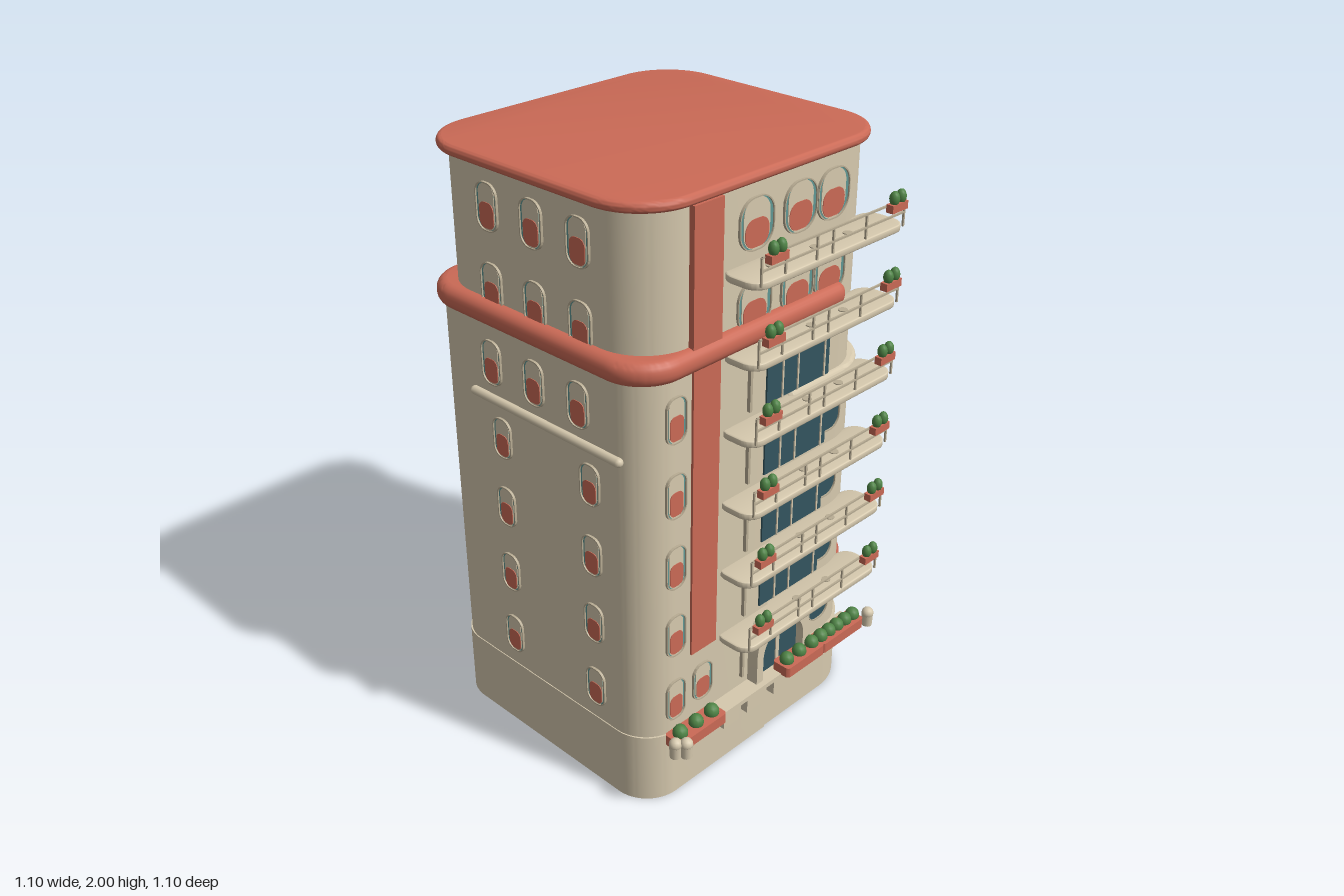
import * as THREE from 'three';
import { toCreasedNormals } from 'three/addons/utils/BufferGeometryUtils.js';

const material = (name, color) => {
  const m = new THREE.MeshStandardMaterial({ color });
  m.name = name;
  return m;
};

export function createModel() {
  const cream = material('cream plaster', 0xd6c9ae);
  const trim = material('shaded trim', 0xb9ad94);
  const coral = material('coral', 0xcb6a56);
  const glass = material('dark teal glass', 0x33555f);
  const teal = material('light teal', 0x5f9794);
  const leaf = material('leaf green', 0x4f8446);
  const root = new THREE.Group();
  root.name = 'apartmentTower';

  const add = (name, geo, mat, x = 0, y = 0, z = 0, parent = root) => {
    const m = new THREE.Mesh(geo, mat);
    m.name = name;
    m.position.set(x, y, z);
    parent.add(m);
    return m;
  };
  const box = (name, mat, x0, x1, y0, y1, z0, z1, parent) =>
    add(name, new THREE.BoxGeometry(x1 - x0, y1 - y0, z1 - z0), mat,
      (x0 + x1) / 2, (y0 + y1) / 2, (z0 + z1) / 2, parent);

  // Rounded rectangle with separate radii for the low-x and high-x corners
  const rounded = (x0, x1, y0, y1, rl, rr = rl) => {
    const s = new THREE.Shape();
    s.moveTo(x0 + rl, y0);
    s.lineTo(x1 - rr, y0);
    if (rr) s.absarc(x1 - rr, y0 + rr, rr, -Math.PI / 2, 0);
    s.lineTo(x1, y1 - rr);
    if (rr) s.absarc(x1 - rr, y1 - rr, rr, 0, Math.PI / 2);
    s.lineTo(x0 + rl, y1);
    if (rl) s.absarc(x0 + rl, y1 - rl, rl, Math.PI / 2, Math.PI);
    s.lineTo(x0, y0 + rl);
    if (rl) s.absarc(x0 + rl, y0 + rl, rl, Math.PI, Math.PI * 1.5);
    return s;
  };
  const extrude = (shape, depth, bevel = 0) => toCreasedNormals(new THREE.ExtrudeGeometry(shape, {
    depth: depth - 2 * bevel, curveSegments: 12, bevelEnabled: bevel > 0,
    bevelThickness: bevel, bevelSize: bevel, bevelOffset: -bevel, bevelSegments: 5,
  }).translate(0, 0, bevel), 0.7);
  // Horizontal slab with rounded plan and optional rounded edge
  const slab = (name, mat, x0, x1, z0, z1, y0, y1, rl, rr, bevel = 0) =>
    add(name, extrude(rounded(x0, x1, -z1, -z0, rl, rr), y1 - y0, bevel).rotateX(-Math.PI / 2), mat, 0, y0, 0);
  // Shallow bowed slab growing out of a wall
  const bow = (name, mat, length, d, y0, y1, turn, x, z, bevel = 0) => {
    const s = new THREE.Shape();
    s.moveTo(-length / 2, 0.05);
    s.lineTo(-length / 2, -0.005);
    s.bezierCurveTo(-length / 3, -d * 1.33, length / 3, -d * 1.33, length / 2, -0.005);
    s.lineTo(length / 2, 0.05);
    const m = add(name, extrude(s, y1 - y0, bevel).rotateX(-Math.PI / 2), mat, x, y0, z);
    m.rotation.y = turn;
  };
  const bush = (x, y, z, r, h, parent) =>
    add('bush', new THREE.SphereGeometry(1, 12, 8), leaf, x, y, z, parent).scale.set(r, h, r);

  // Main masses
  slab('leftBase', cream, -0.53, 0.03, -0.53, 0.413, 0, 0.25, 0.13, 0);
  slab('rightBase', cream, -0.1, 0.53, -0.51, 0.408, 0, 0.25, 0, 0.2);
  slab('leftBlock', cream, -0.527, 0.03, -0.526, 0.408, 0.25, 1.5, 0.13, 0);
  slab('rightBlock', cream, -0.1, 0.525, -0.505, 0.4, 0.25, 1.24, 0, 0.2);
  slab('upperTower', cream, -0.507, 0.503, -0.507, 0.395, 1.2, 1.97, 0.17, 0.18);
  slab('roof', coral, -0.535, 0.53, -0.54, 0.415, 1.966, 2, 0.19, 0.19, 0.016);
  slab('coralBand', coral, -0.55, 0.335, -0.548, 0.43, 1.48, 1.555, 0.15, 0.04, 0.033);
  slab('corniceRight', cream, 0.1, 0.545, -0.522, 0.414, 1.225, 1.255, 0.02, 0.21, 0.012);
  for (const y of [0.475, 1.153])
    slab('coralStripe', coral, 0.335, 0.529, -0.509, 0.404, y, y + 0.022, 0, 0.194);

  // Vertical coral stripe
  box('coralPillarLower', coral, -0.335, -0.225, 0.51, 1.49, 0.39, 0.416);
  box('coralPillarUpper', coral, -0.335, -0.22, 1.5, 1.967, 0.36, 0.414);

  // Bowed back bay with ledges
  bow('backBay', cream, 0.31, 0.025, 0, 1.49, Math.PI, 0.195, -0.505);
  for (let i = 0; i < 5; i++) {
    const y = 0.49 + i * 0.2465;
    bow('backLedge', cream, 0.33, 0.042, y - 0.008, y + 0.012, Math.PI, 0.195, -0.505, 0.004);
  }

  // Right side ledges, glazed bay and canopy
  for (let i = 0; i < 3; i++) {
    const y = 0.49 + i * 0.245;
    bow('rightLedge', cream, 0.42, 0.022, y - 0.008, y + 0.012, Math.PI / 2, 0.525, -0.06, 0.004);
  }
  bow('rightBayGlass', glass, 0.45, 0.03, 1.25, 1.468, Math.PI / 2, 0.503, -0.055);
  box('rightBayMullion', cream, 0.5, 0.535, 1.25, 1.468, 0.036, 0.044);
  bow('rightBayHead', cream, 0.54, 0.035, 1.466, 1.486, Math.PI / 2, 0.503, -0.055);
  const canopy = slab('rightCanopy', coral, 0.4, 0.545, -0.325, 0.21, 1.486, 1.555, 0.04, 0.07, 0.032);
  canopy.position.y = 1.486;

  // Left side ledge
  add('leftLedge', new THREE.CapsuleGeometry(0.015, 0.63, 4, 10).rotateX(Math.PI / 2), cream, -0.533, 1.24, 0);

  // Windows: thin layered plates facing local +z
  const windowAt = (x, y, z, turn, w, h, dark) => {
    const g = new THREE.Group();
    g.name = 'window';
    g.position.set(x, y, z);
    g.rotation.y = turn;
    root.add(g);
    const r = w * 0.42;
    const ring = rounded(-w / 2 - 0.004, w / 2 + 0.004, -h / 2 - 0.004, h / 2 + 0.004, r + 0.004);
    ring.holes.push(rounded(-w / 2, w / 2, -h / 2, h / 2, r));
    add('windowFrame', extrude(ring, 0.008), trim, 0, 0, 0, g);
    add('windowPane', extrude(rounded(-w / 2, w / 2, -h / 2, h / 2, r), 0.003), dark ? glass : teal, 0, 0, 0, g);
    if (dark) return;
    add('windowBlind', extrude(rounded(-w * 0.4, w * 0.4, -h / 2, h / 2, w * 0.36), 0.005), cream, 0, 0, 0, g);
    add('windowCurtain', extrude(rounded(-w * 0.36, w * 0.36, -h * 0.46, h * 0.1, w * 0.26), 0.007), coral, 0, 0, 0, g);
  };
  const rows = [0.375, 0.62, 0.867, 1.113];
  for (const y of rows) {
    windowAt(-0.4, y, 0.408, 0, 0.075, 0.14);
    windowAt(0.3, y, 0.4, 0, 0.095, 0.125, true);
    for (const z of [0.11, -0.22]) windowAt(0.525, y, z, Math.PI / 2, 0.115, 0.1, true);
    for (const z of [-0.2, 0.19]) windowAt(-0.527, y, z, -Math.PI / 2, 0.075, 0.13);
  }
  windowAt(-0.4, 1.36, 0.408, 0, 0.075, 0.14);
  windowAt(-0.28, 0.38, 0.408, 0, 0.08, 0.13);
  for (const z of [-0.23, -0.04, 0.15]) windowAt(-0.527, 1.36, z, -Math.PI / 2, 0.08, 0.14);
  for (const y of [1.845, 1.6]) {
    for (const x of [-0.07, 0.117, 0.265]) windowAt(x, y, 0.395, 0, 0.137, 0.15);
    for (const z of [0.065, -0.18]) windowAt(0.503, y, z, Math.PI / 2, 0.115, 0.13);
    for (const z of [-0.23, -0.04, 0.15]) windowAt(-0.507, y, z, -Math.PI / 2, 0.085, 0.14);
  }

  // Front glazing between the balconies
  for (let i = 0; i < 4; i++) {
    const y = 0.5 + i * 0.245;
    box('frontGlazing', glass, -0.018, 0.27, y + 0.03, y + 0.235, 0.39, 0.414);
    for (const x of [0.05, 0.12, 0.245])
      box('mullion', cream, x - 0.003, x + 0.003, y + 0.03, y + 0.235, 0.39, 0.418);
  }
  for (let i = 0; i < 5; i++)
    box('wallFin', trim, -0.1, -0.09, 0.29 + i * 0.245, 0.47 + i * 0.245, 0.4, 0.42);

  // Balconies with railings and hanging planters
  for (let i = 0; i < 6; i++) {
    const y = 0.5 + i * 0.245;
    slab('balconySlab', cream, -0.205, 0.465, 0.38, 0.525, y - 0.012, y + 0.01, 0.05, 0.05, 0.004);
    for (const h of [0.045, 0.085]) box('balconyRail', trim, -0.185, 0.45, y + h - 0.003, y + h + 0.003, 0.517, 0.523);
    for (const x of [-0.185, -0.085, 0.05, 0.12, 0.27, 0.45])
      box('railPost', trim, x - 0.003, x + 0.003, y, y + 0.085, 0.517, 0.523);
    for (const x of [-0.07, 0.12, 0.27])
      add('floorLight', new THREE.CylinderGeometry(0.015, 0.015, 0.004, 16), trim, x, y + 0.011, 0.455);
    for (const x of [-0.14, 0.393]) {
      box('balconyPlanter', coral, x - 0.036, x + 0.036, y + 0.068, y + 0.093, 0.522, 0.547);
      for (const dx of [-0.016, 0.016]) bush(x + dx, y + 0.108, 0.535, 0.016, 0.023);
    }
  }

  // Entrance: arched portal with double doors
  const arch = (r, h) => {
    const s = new THREE.Shape();
    s.moveTo(-r, 0);
    s.lineTo(r, 0);
    s.lineTo(r, h - r);
    s.absarc(0, h - r, r, 0, Math.PI);
    s.lineTo(-r, 0);
    return s;
  };
  const portal = arch(0.13, 0.24);
  portal.holes.push(arch(0.1, 0.19));
  add('entrancePortal', extrude(portal, 0.055), cream, 0.07, 0.25, 0.395);
  add('entranceDoor', extrude(arch(0.1, 0.19), 0.02), glass, 0.07, 0.25, 0.4);
  box('doorMullion', cream, 0.062, 0.078, 0.25, 0.44, 0.4, 0.424);

  // Terrace with brackets
  box('terrace', cream, -0.3, 0.45, 0.238, 0.254, 0.39, 0.47);
  for (const x of [-0.168, -0.055, 0.078]) box('terraceBracket', cream, x - 0.037, x + 0.037, 0.15, 0.24, 0.39, 0.44);

  // Ground planters and urns
  for (const [x0, x1, n] of [[-0.47, -0.258, 3], [0.04, 0.23, 3], [0.225, 0.44, 5]]) {
    slab('groundPlanter', coral, x0, x1, 0.43, 0.5, 0.25, 0.287, 0.012, 0.012);
    for (let i = 0; i < n; i++) bush(x0 + (i + 0.5) * (x1 - x0) / n, 0.295, 0.465, 0.025, 0.027);
  }
  for (const [x, z] of [[-0.487, 0.495], [-0.462, 0.518], [0.46, 0.5]]) {
    add('urn', new THREE.CylinderGeometry(0.02, 0.018, 0.05, 16), cream, x, 0.275, z);
    add('urnTop', new THREE.SphereGeometry(0.021, 14, 8), cream, x, 0.298, z);
  }
  return root;
}
